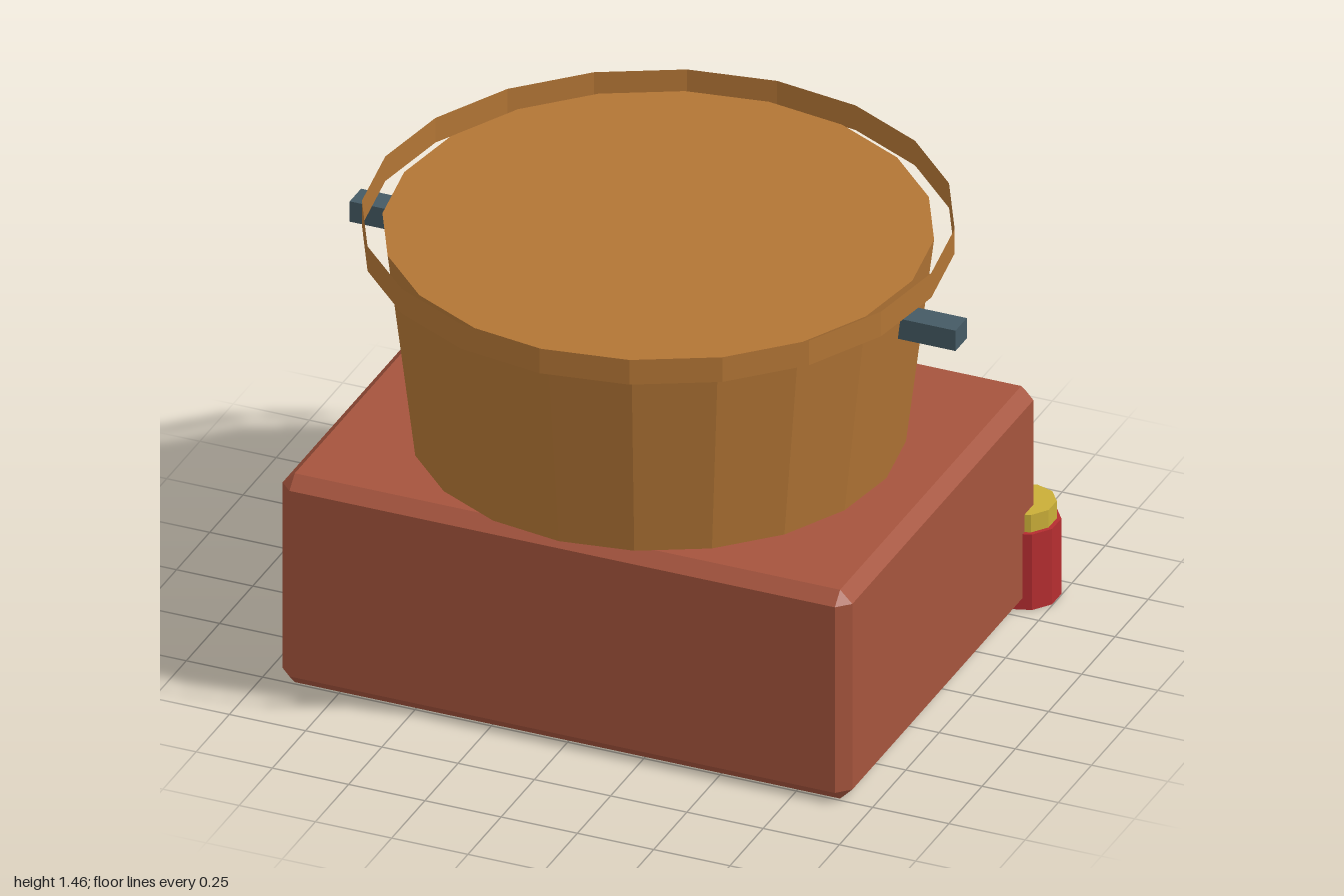
import * as THREE from 'three';
import { ConvexGeometry } from 'three/addons/geometries/ConvexGeometry.js';

const flat = (name, color, extra = {}) => {
  const m = new THREE.MeshStandardMaterial({ color, flatShading: true, ...extra });
  m.name = name;
  return m;
};

// Box with every edge cut at 45 degrees: three points per corner
function chamferBox(w, h, d, c) {
  const points = [];
  for (const sx of [-1, 1]) for (const sy of [-1, 1]) for (const sz of [-1, 1]) {
    const x = w / 2, y = h / 2, z = d / 2;
    points.push(
      new THREE.Vector3(sx * x, sy * (y - c), sz * (z - c)),
      new THREE.Vector3(sx * (x - c), sy * y, sz * (z - c)),
      new THREE.Vector3(sx * (x - c), sy * (y - c), sz * z),
    );
  }
  return new ConvexGeometry(points);
}

export function createModel() {
  const model = new THREE.Group();
  model.name = 'stoveWithKettle';

  const brick = flat('brick', 0xa5543d);
  const copper = flat('copper', 0xb27535);
  const copperSheet = flat('copperSheet', 0xb27535, { side: THREE.DoubleSide });
  const steel = flat('steel', 0x455a64);
  const soot = flat('soot', 0x262626);
  const red = flat('red', 0xb52d30);
  const gold = flat('gold', 0xc9ae38);

  const add = (name, geometry, material, x, y, z, parent = model) => {
    const mesh = new THREE.Mesh(geometry, material);
    mesh.name = name;
    mesh.position.set(x, y, z);
    parent.add(mesh);
    return mesh;
  };

  const cx = -0.005, cz = 0.056, backZ = -0.663;

  // Chamfered brick base
  add('base', chamferBox(1.868, 0.72, 1.443, 0.04), brick, cx, 0.36, cz + 0.002);

  // Tapered kettle with a loose open rim band
  add('kettle', new THREE.CylinderGeometry(0.833, 0.748, 0.7, 20), copper, cx, 1.07, cz);
  add('rim', new THREE.CylinderGeometry(0.895, 0.895, 0.085, 20, 1, true), copperSheet, cx, 1.4175, cz);

  // Side handles
  for (const s of [-1, 1]) {
    add(s > 0 ? 'leftHandle' : 'rightHandle', new THREE.BoxGeometry(0.2, 0.07, 0.085), steel,
      cx + s * 0.893, 1.27, cz);
  }

  // Raised bricks on the back wall, staggered row by row
  const wall = new THREE.Group();
  wall.name = 'raisedBricks';
  model.add(wall);
  [0.597, 0.431, 0.274, 0.115].forEach((y, row) => {
    for (const x of row % 2 ? [0.14, -0.72] : [0.345, -0.505]) {
      add('raisedBrick', new THREE.BoxGeometry(0.39, 0.05, 0.044), brick, x, y, backZ, wall);
    }
  });

  // Firebox opening with flame
  add('fireboxDoor', chamferBox(0.66, 0.36, 0.06, 0.018), soot, cx, 0.287, backZ);
  add('outerFlame', new THREE.SphereGeometry(1, 8, 6), red, cx, 0.195, -0.71).scale.set(0.205, 0.118, 0.08);
  add('innerFlame', new THREE.SphereGeometry(1, 8, 6), gold, 0.01, 0.187, -0.755).scale.set(0.08, 0.08, 0.055);

  // Two capped canisters by the back corner
  for (const [x, z] of [[0.687, -0.845], [0.89, -0.642]]) {
    const canister = new THREE.Group();
    canister.name = 'canister';
    canister.position.set(x, 0, z);
    model.add(canister);
    add('canisterBody', new THREE.CylinderGeometry(0.113, 0.113, 0.26, 10), red, 0, 0.13, 0, canister);
    add('canisterCap', new THREE.CylinderGeometry(0.099, 0.099, 0.06, 10), gold, 0, 0.29, 0, canister);
  }

  return model;
}
